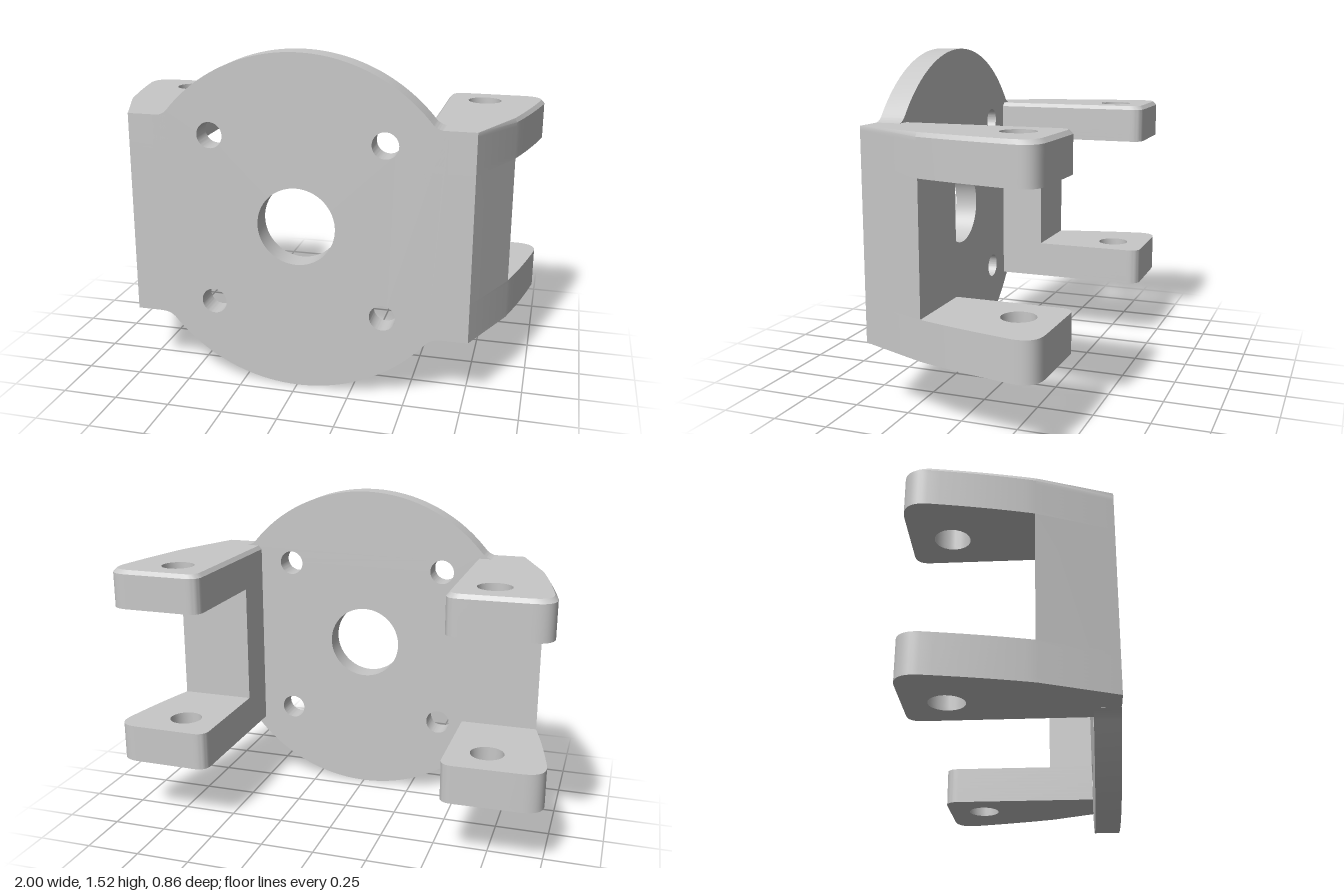
import * as THREE from 'three';
import { toCreasedNormals } from 'three/addons/utils/BufferGeometryUtils.js';

const MID_Y = 0.765, FRONT = 0.43, BACK = -0.43, PLATE_BACK = 0.32;
const BOTTOM = 0.303, TOP = 1.23, HOLE_X = 0.73, HOLE_Z = -0.25;

const circle = (x, y, r, clockwise = true) => new THREE.Path().absarc(x, y, r, 0, Math.PI * 2, clockwise);

// Round flange with small flares running into the side arms
function plateGeometry() {
  const s = new THREE.Shape();
  const r = 0.76, h = 0.4625, a = Math.asin(0.49 / r);
  s.absarc(0, MID_Y, r, a, Math.PI - a, false);
  s.quadraticCurveTo(-0.605, MID_Y + h, -0.65, MID_Y + h);
  s.lineTo(-0.65, MID_Y - h);
  s.quadraticCurveTo(-0.605, MID_Y - h, -r * Math.cos(a), MID_Y - 0.49);
  s.absarc(0, MID_Y, r, Math.PI + a, Math.PI * 2 - a, false);
  s.quadraticCurveTo(0.605, MID_Y - h, 0.65, MID_Y - h);
  s.lineTo(0.65, MID_Y + h);
  s.quadraticCurveTo(0.605, MID_Y + h, r * Math.cos(a), MID_Y + 0.49);
  // Centre bore and four bolt holes
  s.holes.push(circle(0, MID_Y, 0.175));
  for (const x of [-0.388, 0.388])
    for (const y of [-0.387, 0.387]) s.holes.push(circle(x, MID_Y + y, 0.058));
  const g = new THREE.ExtrudeGeometry(s, { depth: FRONT - PLATE_BACK, bevelEnabled: false, curveSegments: 32 });
  g.translate(0, 0, PLATE_BACK);
  return toCreasedNormals(g, 0.5);
}

// Upright extrusion of a footprint drawn in x and -z
function extrudeUp(shape, y0, y1, steps = 1) {
  const g = new THREE.ExtrudeGeometry(shape, { depth: y1 - y0, steps, bevelEnabled: false, curveSegments: 10 });
  g.rotateX(-Math.PI / 2);
  g.translate(0, y0, 0);
  return g;
}

// Ear footprint: tapered to the front, rounded at the back
function earGeometry(side, y0, y1) {
  const s = new THREE.Shape();
  s.moveTo(side * 0.55, -FRONT);
  s.lineTo(side * 0.765, -FRONT);
  s.lineTo(side * 0.9, -0.11);
  s.quadraticCurveTo(side * 0.955, 0.08, side * 0.998, 0.32);
  s.quadraticCurveTo(side * 1.01, 0.425, side * 0.9, -BACK - 0.005);
  s.lineTo(side * 0.61, -BACK);
  s.quadraticCurveTo(side * 0.55, -BACK, side * 0.55, -BACK - 0.06);
  s.lineTo(side * 0.55, -0.33);
  s.closePath();
  // The pin hole winds against the outline, which flips with the side
  s.holes.push(circle(side * HOLE_X, -HOLE_Z, 0.076, side > 0));
  return extrudeUp(s, y0, y1, 10);
}

// Upper ear: chamfered top rim, with the pin hole and front face left straight
function upperEarGeometry(side) {
  const g = earGeometry(side, 1.05, TOP);
  const p = g.attributes.position;
  for (let i = 0; i < p.count; i++) {
    const x = p.getX(i), z = p.getZ(i);
    const nearHole = Math.hypot(x - side * HOLE_X, z - HOLE_Z) < 0.09;
    if (TOP - p.getY(i) > 0.001 || nearHole || z > 0.4) continue;
    p.setX(i, x + (side * 0.77 - x) * 0.07);
    if (z < 0) p.setZ(i, z * 0.965);
  }
  return toCreasedNormals(g, 0.45);
}

const lowerEarGeometry = (side) => toCreasedNormals(earGeometry(side, BOTTOM, 0.48), 0.45);

// Web joining the upper and lower ears
function webGeometry(side) {
  const s = new THREE.Shape();
  s.moveTo(side * 0.55, -FRONT);
  s.lineTo(side * 0.765, -FRONT);
  s.lineTo(side * 0.9, -0.11);
  s.lineTo(side * 0.902, -0.105);
  s.lineTo(side * 0.55, -0.105);
  s.closePath();
  return toCreasedNormals(extrudeUp(s, 0.48, 1.05), 0.45);
}

export function createModel() {
  const metal = new THREE.MeshStandardMaterial({ color: 0xc8c8c8 });
  metal.name = 'light grey metal';
  const model = new THREE.Group();
  model.name = 'mountingBracket';
  const add = (parent, name, geometry) => {
    const m = new THREE.Mesh(geometry, metal);
    m.name = name;
    parent.add(m);
  };

  add(model, 'flangePlate', plateGeometry());

  // Forked arms, one on each side
  for (const side of [1, -1]) {
    const arm = new THREE.Group();
    arm.name = side > 0 ? 'leftArm' : 'rightArm';
    add(arm, 'upperEar', upperEarGeometry(side));
    add(arm, 'lowerEar', lowerEarGeometry(side));
    add(arm, 'web', webGeometry(side));
    model.add(arm);
  }
  return model;
}
